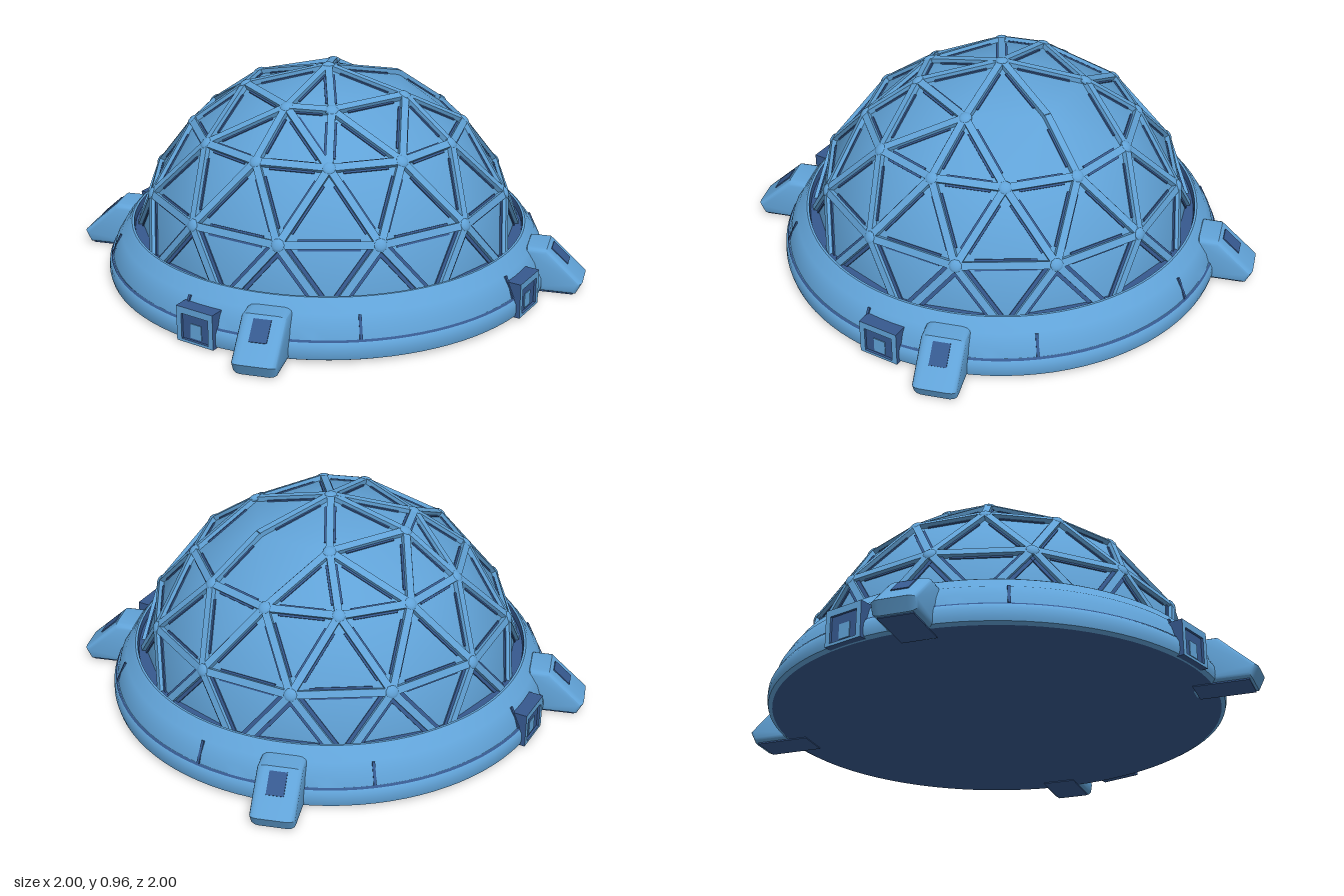
import * as THREE from 'three';
import { toCreasedNormals } from 'three/addons/utils/BufferGeometryUtils.js';
import { ConvexGeometry } from 'three/addons/geometries/ConvexGeometry.js';

const RAD = Math.PI / 180;
const CENTRE = new THREE.Vector3(0, 0.1, 0);
const PANEL_DEPTH = 0.012;

const blue = new THREE.MeshStandardMaterial({ color: 0x61a3d8 });
blue.name = 'panel blue';
const navy = new THREE.MeshStandardMaterial({ color: 0x36598f });
navy.name = 'recess navy';

function add(parent, name, geometry, material) {
  const mesh = new THREE.Mesh(geometry, material);
  mesh.name = name;
  parent.add(mesh);
  return mesh;
}

// Group whose local +x points outward at the given angle (from +x towards +z)
function radial(parent, name, degrees) {
  const g = new THREE.Group();
  g.name = name;
  g.rotation.y = -degrees * RAD;
  parent.add(g);
  return g;
}

// Point on the dome from radius, angle below the apex and heading
function domePoint(r, theta, phi) {
  return new THREE.Vector3().setFromSphericalCoords(r, theta * RAD, (90 - phi) * RAD).add(CENTRE);
}

function lathe(points) {
  const g = new THREE.LatheGeometry(points.map(([r, y]) => new THREE.Vector2(r, y)), 96);
  return toCreasedNormals(g, 0.5);
}

function buildDome(model) {
  const dome = new THREE.Group();
  dome.name = 'dome';
  model.add(dome);

  // Rings of nodes below the apex: radius, polar angle, headings
  const twelve = [...Array(12).keys()].map((i) => i * 30);
  const rings = [
    [0.855, 0, [0]],
    [0.853, 25.5, [0, 56, 118, 149, 211, 242, 304]],
    [0.853, 45.3, twelve],
    [0.87, 67.6, twelve.map((a) => a + 15)],
    [0.88, 86, twelve],
  ];
  const nodes = (inset) => rings.flatMap(([r, theta, list]) =>
    list.map((phi) => domePoint(r - inset, theta, phi)));

  // Panels, shaded as one round shell
  const shell = new ConvexGeometry(nodes(PANEL_DEPTH));
  const { position, normal } = shell.attributes;
  const v = new THREE.Vector3();
  for (let i = 0; i < position.count; i++) {
    v.fromBufferAttribute(position, i).sub(CENTRE).normalize();
    normal.setXYZ(i, v.x, v.y, v.z);
  }
  add(dome, 'domePanels', shell, blue);

  // Struts with dark grooves beside them; the wide panels on +x share one long rib
  const ribNode = domePoint(0.853, 25.5, 0);
  const edges = new THREE.EdgesGeometry(new ConvexGeometry(nodes(0)), 0.5).attributes.position;
  for (let i = 0; i < edges.count; i += 2) {
    const a = new THREE.Vector3().fromBufferAttribute(edges, i);
    const b = new THREE.Vector3().fromBufferAttribute(edges, i + 1);
    if (a.y < 0.2 && b.y < 0.2) continue;
    const onRib = a.distanceTo(ribNode) < 0.01 || b.distanceTo(ribNode) < 0.01;
    if (onRib && Math.abs(a.z) + Math.abs(b.z) > 0.02) continue;

    const along = b.clone().sub(a);
    const length = along.length();
    const middle = a.clone().add(b).multiplyScalar(0.5);
    const side = middle.clone().sub(CENTRE).cross(along).normalize();
    const up = along.clone().cross(side).normalize();
    const bar = new THREE.Group();
    bar.name = 'strutAssembly';
    bar.position.copy(middle);
    bar.quaternion.setFromRotationMatrix(
      new THREE.Matrix4().makeBasis(side, up, along.normalize()));
    dome.add(bar);
    add(bar, 'strut', new THREE.BoxGeometry(0.032, 0.03, length), blue).position.y = -0.007;

    const low = Math.min(a.y, b.y) < 0.2;
    const groove = new THREE.BoxGeometry(low ? 0.064 : 0.05, 0.006, length * (low ? 0.9 : 0.62));
    add(bar, 'strutGroove', groove, navy).position.y = -0.011;
  }

  // Rounded hubs where struts meet
  const hubShape = new THREE.SphereGeometry(0.03, 10, 6);
  for (const p of nodes(0.002)) {
    if (p.y < 0.2 || p.distanceTo(ribNode) < 0.01) continue;
    const hub = add(dome, 'hub', hubShape, blue);
    hub.position.copy(p);
    hub.scale.y = 0.5;
    hub.quaternion.setFromUnitVectors(new THREE.Vector3(0, 1, 0), p.clone().sub(CENTRE).normalize());
  }
}

function buildBase(model) {
  const base = new THREE.Group();
  base.name = 'base';
  model.add(base);

  add(base, 'baseRing', lathe([
    [0.975, 0.015], [0.993, 0.025], [0.998, 0.045], [0.996, 0.08], [0.985, 0.1],
    [0.978, 0.105], [0.965, 0.15], [0.935, 0.2], [0.922, 0.21], [0.9, 0.247], [0.89, 0.254],
    [0.88, 0.254],
  ]), blue);
  add(base, 'underside', lathe([[0, 0.015], [0.975, 0.015]]), navy);
  add(base, 'gutter', lathe([[0.88, 0.254], [0.875, 0.225], [0.8, 0.225]]), navy);
  add(base, 'ringGroove', lathe([[0.988, 0.099], [0.981, 0.107]]), navy);

  // Seams between the sloping ring plates
  for (let i = 0; i < 8; i++) {
    const g = radial(base, 'ringSeam', 22.5 + i * 45);
    const seam = add(g, 'seam', new THREE.BoxGeometry(0.009, 0.1, 0.012), navy);
    seam.position.set(0.961, 0.152, 0);
    seam.rotation.z = 0.42;
  }
}

// Sloping foot with a bevelled outline and an inset patch
function buildLeg(model, degrees) {
  const leg = radial(model, 'leg', degrees);
  const outline = [[0.9, 0.035], [1.13, 0.035], [1.145, 0.065], [1.0, 0.198], [0.93, 0.198], [0.9, 0.16]];
  const shape = new THREE.Shape(outline.map(([r, y]) => new THREE.Vector2(r, y)));
  const g = new THREE.ExtrudeGeometry(shape, {
    depth: 0.12, bevelThickness: 0.035, bevelSize: 0.02, bevelSegments: 3,
  });
  g.translate(0, 0, -0.06);
  add(leg, 'legBody', toCreasedNormals(g, 0.7), blue);

  const patch = add(leg, 'legInset', new THREE.BoxGeometry(0.1, 0.008, 0.075), navy);
  patch.position.set(1.06, 0.171, 0);
  patch.rotation.z = -Math.atan2(0.133, 0.145);
  const sole = add(leg, 'legSole', new THREE.BoxGeometry(0.24, 0.006, 0.15), navy);
  sole.position.set(1.01, 0.014, 0);
}

// Square port: pale rim, dark walls and recess, pale centre plate
function buildPort(model, degrees) {
  const port = radial(model, 'port', degrees);
  const rect = (Type, w, y0, y1) => new Type([
    new THREE.Vector2(-w, y0), new THREE.Vector2(w, y0),
    new THREE.Vector2(w, y1), new THREE.Vector2(-w, y1),
  ]);
  const frame = rect(THREE.Shape, 0.092, 0.018, 0.175);
  frame.holes.push(rect(THREE.Path, 0.068, 0.03, 0.145));
  const g = new THREE.ExtrudeGeometry(frame, { depth: 0.1, bevelEnabled: false });
  g.rotateY(Math.PI / 2);
  g.translate(0.91, 0, 0);
  add(port, 'portFrame', g, [blue, navy]);

  const recess = add(port, 'portRecess', new THREE.BoxGeometry(0.008, 0.116, 0.138), navy);
  recess.position.set(0.995, 0.088, 0);
  const plate = add(port, 'portPlate', new THREE.BoxGeometry(0.006, 0.065, 0.055), blue);
  plate.position.set(0.999, 0.072, 0);
}

export function createModel() {
  const model = new THREE.Group();
  model.name = 'geodesicDome';
  buildDome(model);
  buildBase(model);
  for (const a of [45, 135, 225, 315]) buildLeg(model, a);
  for (const a of [62, 153, 242]) buildPort(model, a);
  return model;
}
